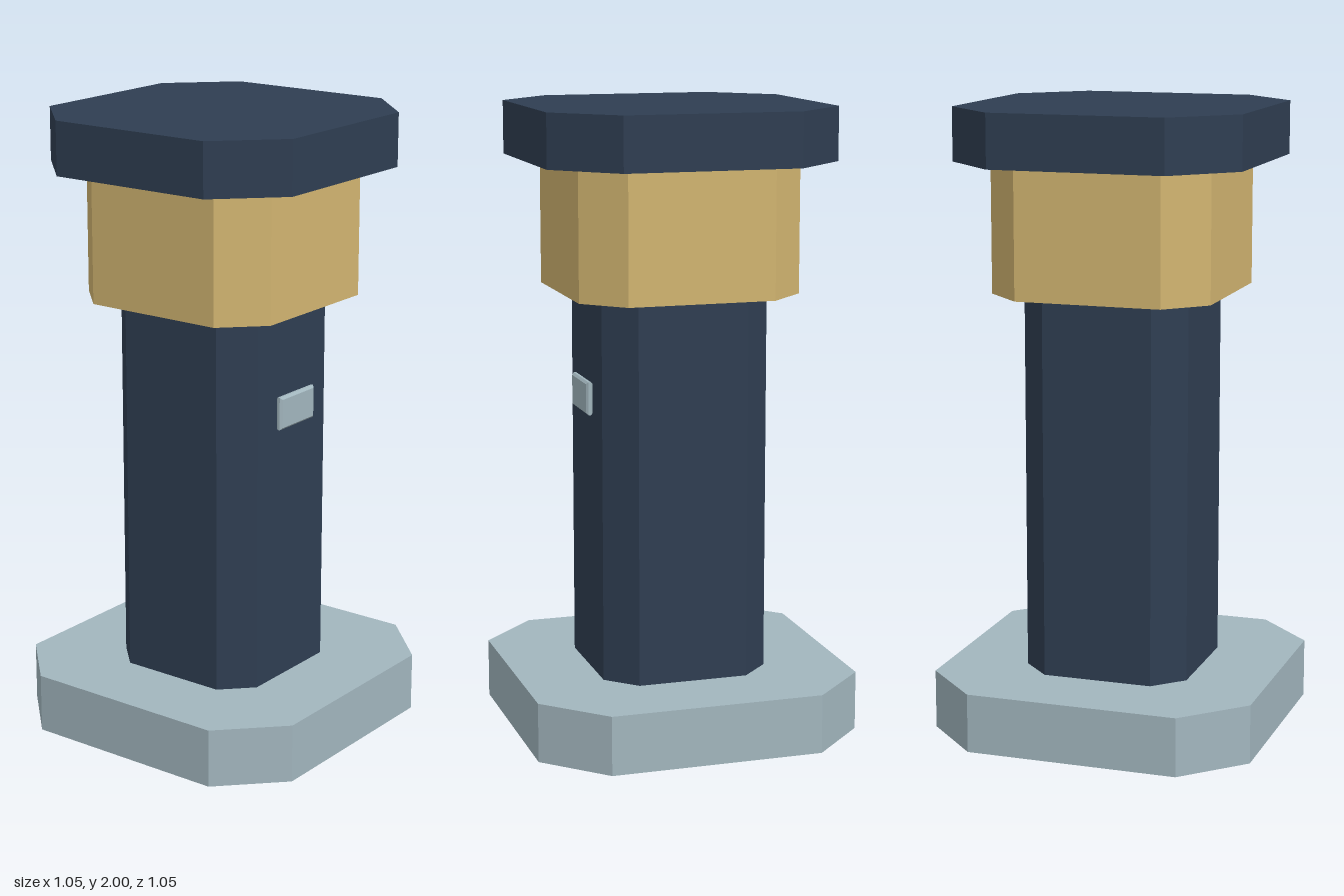
import * as THREE from 'three';

function material(name, color) {
  const m = new THREE.MeshStandardMaterial({ color });
  m.name = name;
  return m;
}

// Square outline with clipped corners: half = half width, flat = half length of each main side
function clippedSquare(half, flat) {
  const s = new THREE.Shape();
  s.moveTo(flat, -half);
  s.lineTo(half, -flat);
  s.lineTo(half, flat);
  s.lineTo(flat, half);
  s.lineTo(-flat, half);
  s.lineTo(-half, flat);
  s.lineTo(-half, -flat);
  s.lineTo(-flat, -half);
  s.closePath();
  return s;
}

export function createModel() {
  const navy = material('navy', 0x2f3e52);
  const gold = material('gold', 0xd2b571);
  const grey = material('pale blue grey', 0xa2b6be);
  const model = new THREE.Group();
  model.name = 'pillar';

  // Stacked eight-sided tiers, from the ground up
  const tiers = [
    ['base', grey, 0.527, 0.342, 0, 0.19],
    ['column', navy, 0.27, 0.178, 0.19, 1.415],
    ['collar', gold, 0.357, 0.235, 1.415, 1.83],
    ['cap', navy, 0.465, 0.28, 1.83, 2],
  ];
  for (const [name, mat, half, flat, bottom, top] of tiers) {
    const geo = new THREE.ExtrudeGeometry(clippedSquare(half, flat), {
      depth: top - bottom, bevelEnabled: false,
    });
    geo.rotateX(-Math.PI / 2);
    const mesh = new THREE.Mesh(geo, mat);
    mesh.name = name;
    mesh.position.y = bottom;
    model.add(mesh);
  }

  // Small chamfered plate on the front of the column
  const w = 0.083, h = 0.046, bevel = 0.007;
  const outline = new THREE.Shape();
  outline.moveTo(-w, -h);
  outline.lineTo(w, -h);
  outline.lineTo(w, h);
  outline.lineTo(-w, h);
  outline.closePath();
  const plate = new THREE.Mesh(new THREE.ExtrudeGeometry(outline, {
    depth: 0.008, bevelThickness: bevel, bevelSize: bevel, bevelSegments: 1,
  }), grey);
  plate.name = 'frontPlate';
  plate.position.set(0, 1.088, 0.281);
  model.add(plate);

  return model;
}
